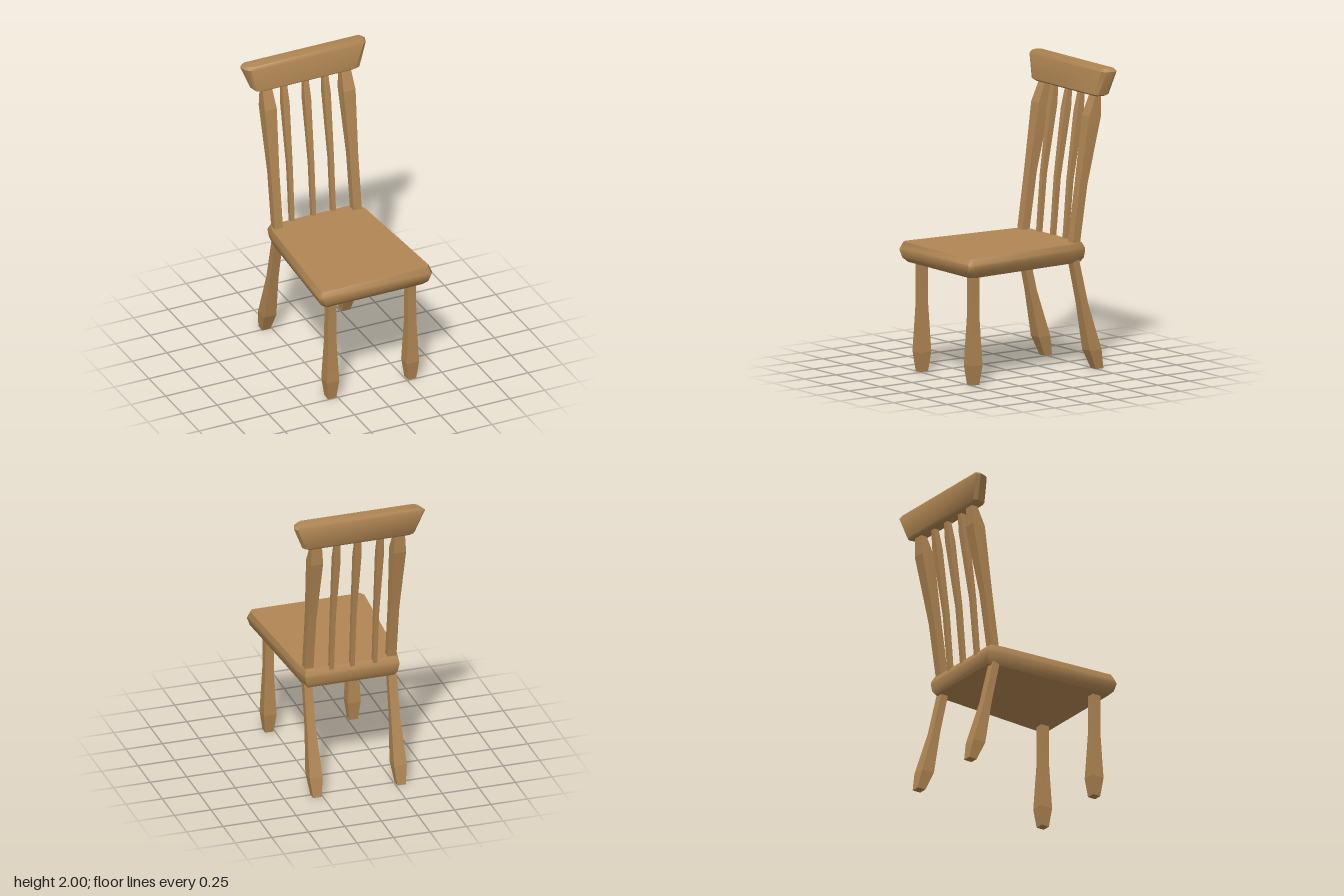
import * as THREE from 'three';
import { toCreasedNormals } from 'three/addons/utils/BufferGeometryUtils.js';

// Skins a stack of rings (bottom to top, counter-clockwise from above) and caps both ends
function loft(rings, crease) {
  const n = rings[0].length;
  const index = [];
  for (let r = 0; r < rings.length - 1; r++) {
    for (let i = 0; i < n; i++) {
      const a = r * n + i, b = r * n + (i + 1) % n;
      index.push(a, b, b + n, a, b + n, a + n);
    }
  }
  const top = (rings.length - 1) * n;
  for (let i = 1; i < n - 1; i++) {
    index.push(0, i + 1, i, top, top + i, top + i + 1);
  }
  const geometry = new THREE.BufferGeometry();
  geometry.setAttribute('position', new THREE.Float32BufferAttribute(rings.flat(2), 3));
  geometry.setIndex(index);
  return toCreasedNormals(geometry, crease);
}

// Square bar from sections [y, front z, back z, half width]
function bar(x, sections) {
  return loft(sections.map(([y, zf, zb, w]) => [
    [x - w, y, zf], [x + w, y, zf], [x + w, y, zb], [x - w, y, zb],
  ]), 0.1);
}

// Mirrors a half outline [x, z], listed front to back on +x, into a full ring
function mirrorRing(y, half) {
  const right = half.map(([x, z]) => [x, y, z]);
  const left = half.map(([x, z]) => [-x, y, z]).reverse();
  return [...right, ...left];
}

export function createModel() {
  const group = new THREE.Group();
  const wood = new THREE.MeshStandardMaterial({ color: 0xb08653 });
  wood.name = 'wood';
  const add = (name, geometry) => {
    const mesh = new THREE.Mesh(geometry, wood);
    mesh.name = name;
    group.add(mesh);
  };

  // Tapered seat with bevelled rim: [y, front z, back z, front half width, back half width]
  const seat = [
    [0.72, 0.535, -0.38, 0.365, 0.295],
    [0.75, 0.565, -0.398, 0.39, 0.312],
    [0.8, 0.575, -0.402, 0.407, 0.322],
    [0.815, 0.571, -0.4, 0.403, 0.322],
    [0.852, 0.555, -0.38, 0.39, 0.314],
  ];
  add('seat', loft(seat.map(([y, zf, zb, wf, wb]) => mirrorRing(y, [
    [wf - 0.02, zf], [wf, zf - 0.03], [wb + 0.02, -0.3], [wb, zb],
  ])), 0.9));

  // Legs and back posts
  for (const side of [-1, 1]) {
    const label = side > 0 ? 'left' : 'right';
    const x = side * 0.288;
    add(label + 'FrontLeg', bar(x, [
      [0, 0.495, 0.438, 0.029], [0.13, 0.51, 0.422, 0.044],
      [0.44, 0.496, 0.437, 0.03], [0.75, 0.496, 0.437, 0.028],
    ]));
    add(label + 'BackLeg', bar(x, [
      [0, -0.49, -0.55, 0.029], [0.13, -0.432, -0.525, 0.044],
      [0.44, -0.372, -0.428, 0.03], [0.75, -0.303, -0.355, 0.028],
    ]));
    add(label + 'BackPost', bar(x - side * 0.004, [
      [0.8, -0.303, -0.36, 0.029], [1.23, -0.365, -0.425, 0.03],
      [1.68, -0.432, -0.525, 0.043], [1.84, -0.497, -0.53, 0.032],
    ]));
  }

  // Three slim spindles
  for (const x of [-0.16, -0.005, 0.137]) {
    add('spindle', bar(x, [
      [0.8, -0.358, -0.388, 0.015], [1.23, -0.393, -0.428, 0.016],
      [1.68, -0.455, -0.505, 0.023], [1.84, -0.49, -0.52, 0.017],
    ]));
  }

  // Flared top rail with softened edges
  add('topRail', loft([
    mirrorRing(1.81, [[0.32, -0.47], [0.345, -0.478], [0.355, -0.53], [0.34, -0.547]]),
    mirrorRing(1.822, [[0.34, -0.456], [0.372, -0.468], [0.385, -0.53], [0.365, -0.556]]),
    mirrorRing(1.98, [[0.405, -0.473], [0.432, -0.497], [0.449, -0.55], [0.43, -0.575]]),
    mirrorRing(2, [[0.385, -0.485], [0.41, -0.502], [0.422, -0.545], [0.41, -0.565]]),
  ], 0.7));

  return group;
}
